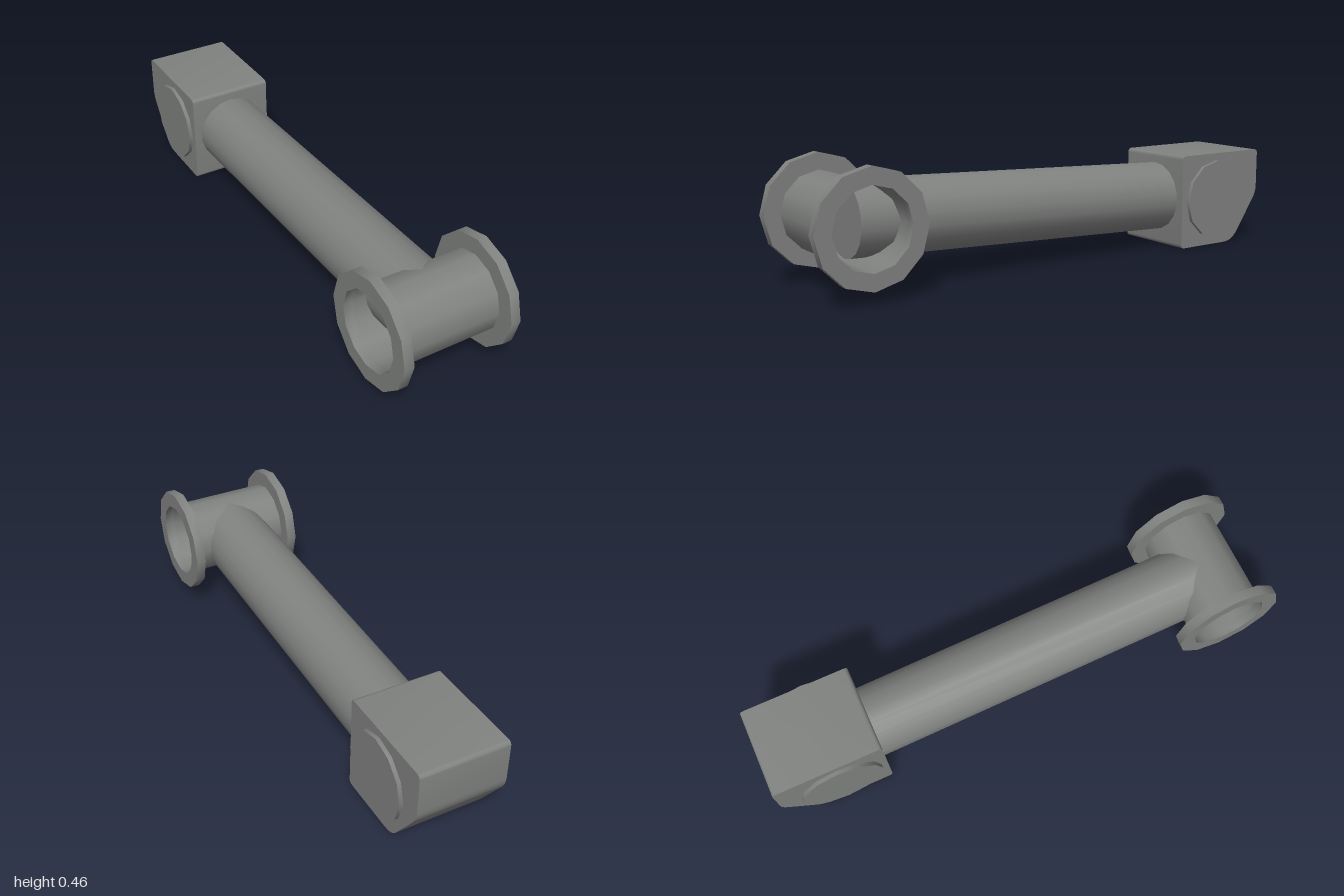
import * as THREE from 'three';
import { toCreasedNormals } from 'three/addons/utils/BufferGeometryUtils.js';

const CREASE = 0.7;
const SPOOL = { y: 0.25, z: 0.794 };
const HUB = { y: 0.187, z: -0.766 };

export function createModel() {
  const model = new THREE.Group();
  model.name = 'linkArm';
  const grey = new THREE.MeshStandardMaterial({ color: 0x808280 });
  grey.name = 'grey';
  const greyShell = new THREE.MeshStandardMaterial({ color: 0x808280, side: THREE.DoubleSide });
  greyShell.name = 'greyShell';

  const add = (name, geometry, x, y, z, material = grey) => {
    const mesh = new THREE.Mesh(geometry, material);
    mesh.name = name;
    mesh.position.set(x, y, z);
    model.add(mesh);
    return mesh;
  };

  // Open spool barrel lying along x
  const barrel = new THREE.CylinderGeometry(0.145, 0.145, 0.376, 12, 1, true).rotateZ(Math.PI / 2);
  add('spoolBarrel', barrel, 0, SPOOL.y, SPOOL.z, greyShell);

  // Ring flange: a rectangle turned around the barrel axis
  const ringProfile = [[0.145, -0.0185], [0.206, -0.0185], [0.206, 0.0185], [0.145, 0.0185], [0.145, -0.0185]]
    .map(([r, h]) => new THREE.Vector2(r, h));
  const flange = toCreasedNormals(new THREE.LatheGeometry(ringProfile, 12).rotateZ(Math.PI / 2), CREASE);

  // Round plates on the sides of the head block
  const plate = toCreasedNormals(
    new THREE.CylinderGeometry(0.156, 0.156, 0.03, 12).rotateZ(Math.PI / 2), CREASE);

  for (const [side, s] of [['left', 1], ['right', -1]]) {
    add(side + 'Flange', flange, s * 0.2055, SPOOL.y, SPOOL.z);
    add(side + 'Plate', plate, s * 0.167, HUB.y, HUB.z);
  }

  // Arm: cylinder along z, sheared so that its ends stay upright
  const length = SPOOL.z - HUB.z;
  const arm = new THREE.CylinderGeometry(0.137, 0.137, length, 18).rotateX(Math.PI / 2);
  arm.rotateZ(Math.PI); // keeps a corner line at the bottom
  const shear = new THREE.Matrix4();
  shear.elements[9] = (SPOOL.y - HUB.y) / length;
  arm.applyMatrix4(shear);
  add('arm', arm, 0, (SPOOL.y + HUB.y) / 2, (SPOOL.z + HUB.z) / 2);

  // Head block: side outline (distance backwards, height) with a cut lower back corner
  const outline = new THREE.Shape();
  outline.moveTo(0.603, 0);
  outline.lineTo(0.82, 0);
  outline.quadraticCurveTo(0.868, 0, 0.89, 0.033);
  outline.lineTo(0.982, 0.165);
  outline.quadraticCurveTo(1, 0.19, 1, 0.22);
  outline.lineTo(1, 0.355);
  outline.quadraticCurveTo(1, 0.371, 0.984, 0.371);
  outline.lineTo(0.603, 0.371);
  outline.quadraticCurveTo(0.587, 0.371, 0.587, 0.355);
  outline.lineTo(0.587, 0.016);
  outline.quadraticCurveTo(0.587, 0, 0.603, 0);
  const head = new THREE.ExtrudeGeometry(outline, { depth: 0.334, bevelEnabled: false, curveSegments: 4 });
  head.translate(0, 0, -0.167).rotateY(Math.PI / 2);
  add('headBlock', toCreasedNormals(head, CREASE), 0, 0, 0);

  return model;
}
